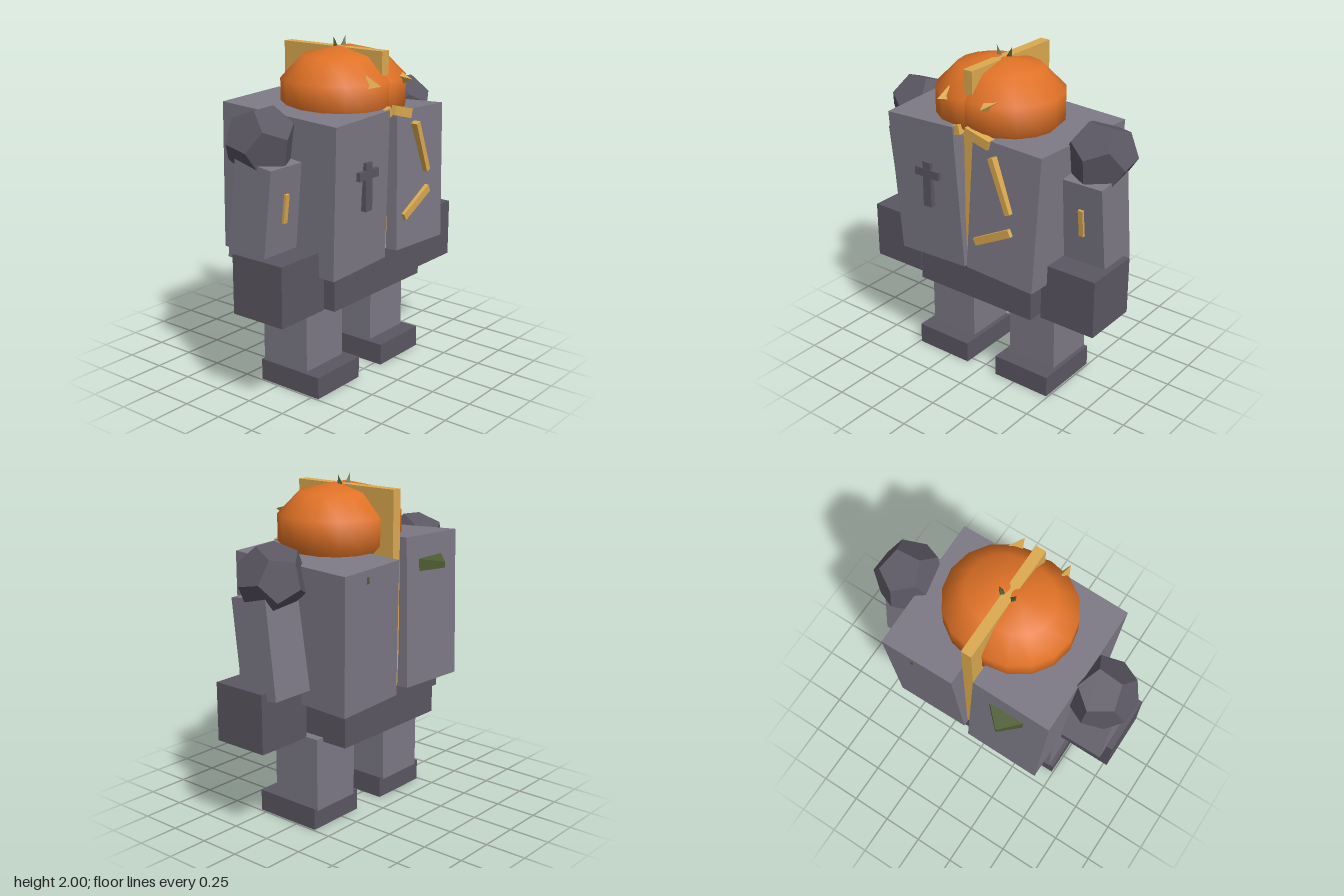
import * as THREE from 'three';

const mat = (color, flatShading = true) => new THREE.MeshStandardMaterial({ color, flatShading });

export function createModel() {
  const root = new THREE.Group();
  const stone = mat(0x7d7986), dark = mat(0x5b5763), gold = mat(0xdcaa50);
  const green = mat(0x4d5c32), orange = mat(0xe07226, false);

  const add = (name, geometry, material, pos, rot = [0, 0, 0], parent = root) => {
    const m = new THREE.Mesh(geometry, material);
    m.name = name;
    m.position.set(...pos);
    m.rotation.set(...rot);
    parent.add(m);
    return m;
  };
  const box = (name, size, material, pos, rot, parent) =>
    add(name, new THREE.BoxGeometry(...size), material, pos, rot, parent);

  // Hips and the plate that splits the body; the figure faces +x
  box('hips', [0.65, 0.27, 0.82], dark, [0.025, 0.66, 0]);
  box('centrePlate', [0.71, 1.15, 0.062], gold, [0.025, 1.37, 0]);

  // Torso halves, leaning apart
  box('torsoHalf', [0.815, 0.875, 0.475], stone, [0.025, 1.205, 0.275], [0.036, 0, -0.05]);
  box('torsoHalf', [0.82, 0.81, 0.46], stone, [0.027, 1.17, -0.277], [-0.04, 0, 0.043]);

  // Flattened wedge for the back, narrowing towards -x
  const wedge = new THREE.BoxGeometry(0.12, 0.08, 0.25);
  const p = wedge.attributes.position;
  for (let i = 0; i < p.count; i++) {
    if (p.getX(i) < 0) p.setXYZ(i, p.getX(i), p.getY(i) * 0.45, p.getZ(i) * 0.04);
  }

  for (const s of [1, -1]) {
    // Legs and feet
    box('foot', [0.43, 0.13, 0.38], dark, [0.08, 0.065, s * 0.3]);
    box('leg', [0.325, 0.44, 0.325], stone, [0.027, 0.33, s * 0.302]);

    // Arm with its stitch, then hand and shoulder
    const arm = new THREE.Group();
    arm.name = 'arm';
    arm.position.set(0.047, 1.12, s * 0.615);
    arm.rotation.z = -0.115;
    root.add(arm);
    box('armBlock', [0.26, 0.57, 0.305], stone, [0, 0, 0], [0, 0, 0], arm);
    box('armStitch', [0.03, 0.165, 0.03], gold, [0.13, 0.045, s * 0.015], [0, 0, 0], arm);
    box('hand', [0.355, 0.35, 0.355], dark, [0.132, 0.715, s * 0.63]);
    add('shoulder', new THREE.DodecahedronGeometry(0.205), dark,
      [0.025, 1.5, s * 0.638], [s * 0.5, s * 0.4, 0.2]);

    // Head lobe, eye and stalk
    add('headLobe', new THREE.SphereGeometry(0.347, 16, 5), orange, [0.088, 1.698, s * 0.05])
      .scale.y = 0.74;
    add('eye', new THREE.ConeGeometry(0.05, 0.1, 3), gold,
      [0.41, 1.775, s * 0.148], [s * 0.5, 0, -Math.PI / 2]);
    add('stalk', new THREE.ConeGeometry(0.022, 0.075, 4), green,
      [0.057, 1.965, s * 0.042], [s * 0.3, 0, 0]);

    // Brow bar and back wedge
    box('brow', [0.05, 0.055, 0.17], gold, [0.415, 1.595, s * 0.1], [-s * 0.02 + s * 0.28, 0, 0]);
    add('backWedge', wedge, green, [s > 0 ? -0.41 : -0.343, 1.495, s > 0 ? 0.27 : -0.33]);
  }

  // Gold stitches on one half of the chest
  box('chestStitch', [0.055, 0.325, 0.035], gold, [0.437, 1.365, -0.272], [0.365, 0, 0]);
  box('chestStitch', [0.055, 0.045, 0.275], gold, [0.437, 1.042, -0.22], [0.48, 0, 0]);

  // Cross on the other half
  box('crossUpright', [0.06, 0.275, 0.058], dark, [0.431, 1.235, 0.246]);
  box('crossBar', [0.06, 0.05, 0.173], dark, [0.432, 1.305, 0.246]);

  return root;
}
